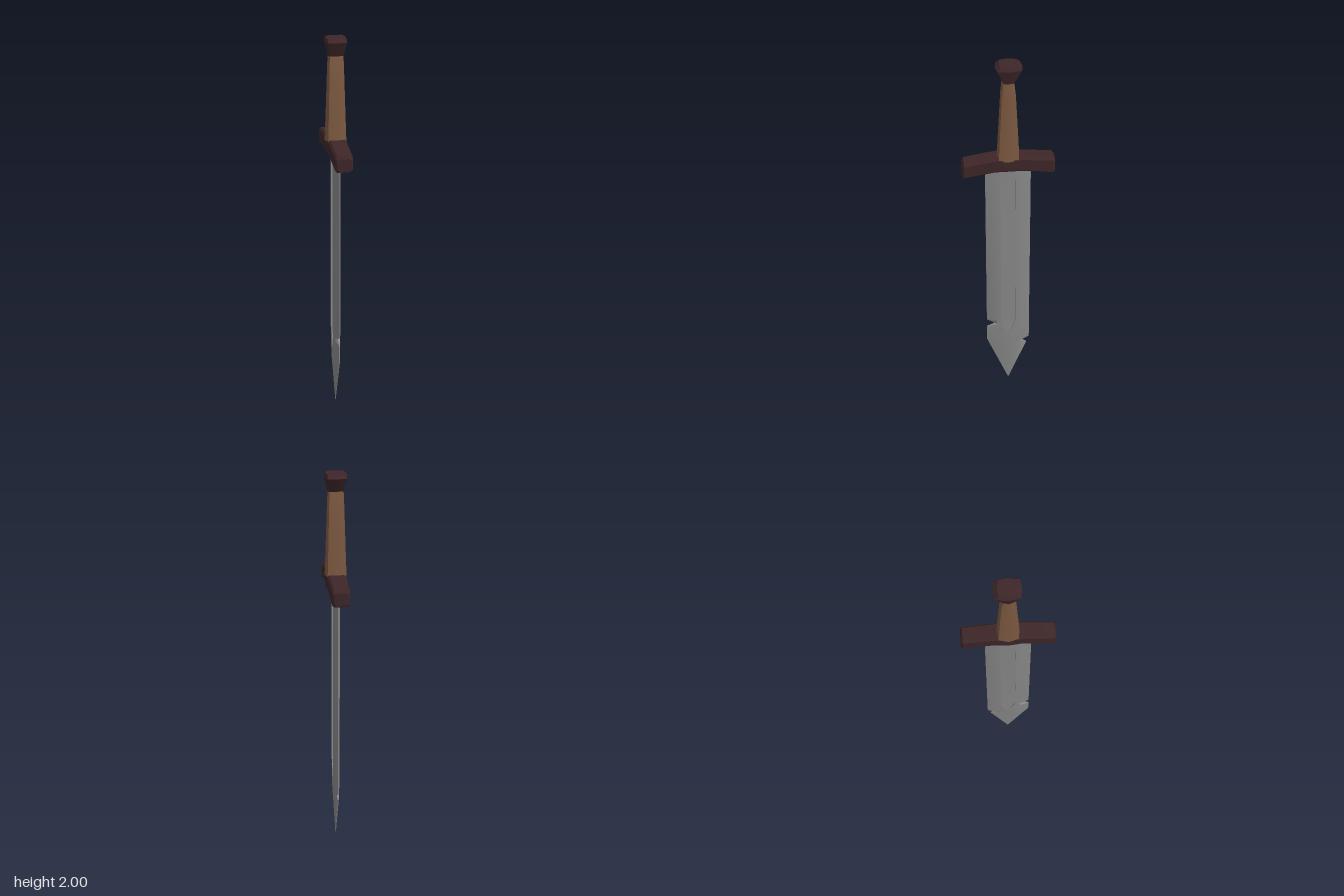
import * as THREE from 'three';
import { toCreasedNormals } from 'three/addons/utils/BufferGeometryUtils.js';

// Skin a list of rings (arrays of Vector3, counter-clockwise about the travel axis) and cap both ends
function loft(rings, crease) {
  const pos = [];
  const tri = (a, b, c) => {
    const n = b.clone().sub(a).cross(c.clone().sub(a));
    if (n.length() > 1e-9) for (const p of [a, b, c]) pos.push(p.x, p.y, p.z);
  };
  const count = rings[0].length;
  for (let s = 0; s < rings.length - 1; s++) {
    for (let i = 0; i < count; i++) {
      const j = (i + 1) % count;
      tri(rings[s][i], rings[s][j], rings[s + 1][j]);
      tri(rings[s][i], rings[s + 1][j], rings[s + 1][i]);
    }
  }
  const cap = (ring, flip) => {
    const mid = new THREE.Vector3();
    ring.forEach((p) => mid.addScaledVector(p, 1 / count));
    ring.forEach((p, i) => {
      const q = ring[(i + 1) % count];
      if (flip) tri(mid, q, p);
      else tri(mid, p, q);
    });
  };
  cap(rings[0], true);
  cap(rings[rings.length - 1], false);
  const geo = new THREE.BufferGeometry();
  geo.setAttribute('position', new THREE.Float32BufferAttribute(pos, 3));
  return toCreasedNormals(geo, crease);
}

// Eight-sided ring in the xz plane, bulging at the middle of each side
const gripRing = ([y, rx, rz, z = 0]) =>
  [[0, 1], [0.83, 0.88], [1, 0], [0.83, -0.88], [0, -1], [-0.83, -0.88], [-1, 0], [-0.83, 0.88]]
    .map(([u, v]) => new THREE.Vector3(u * rx, y, z + v * rz));

// Chamfered rectangle in the xy plane
const guardRing = ([z, y, w, h]) => {
  const c = 0.01;
  return [[w, c - h], [w, h - c], [w - c, h], [c - w, h], [-w, h - c], [-w, c - h], [c - w, -h], [w - c, -h]]
    .map(([x, dy]) => new THREE.Vector3(x, y + dy, z));
};

// Blade section: thin edges, bevel, then a sunken fuller on both faces
const bladeRing = ([y, front, back, t, f, d]) => {
  const bevel = (e) => Math.min(0.07, e * 0.8);
  const edge = Math.min(0.002, t);
  const side = [
    [front, edge], [bevel(front), t * 0.8], [f, t], [f, t - d],
    [-f, t - d], [-f, t], [-bevel(back), t * 0.8], [-back, edge],
  ];
  const near = side.map(([z, x]) => new THREE.Vector3(x, y, z));
  const far = side.map(([z, x]) => new THREE.Vector3(-x, y, z)).reverse();
  return [...near, ...far];
};

export function createModel() {
  const steel = new THREE.MeshStandardMaterial({ color: 0x8a8a8a });
  steel.name = 'steel';
  const darkWood = new THREE.MeshStandardMaterial({ color: 0x3e2628 });
  darkWood.name = 'dark wood';
  const leather = new THREE.MeshStandardMaterial({ color: 0x7d5a41 });
  leather.name = 'leather';

  const model = new THREE.Group();
  model.name = 'sword';
  const add = (name, geo, mat) => {
    const mesh = new THREE.Mesh(geo, mat);
    mesh.name = name;
    model.add(mesh);
  };

  // Blade rows: height, front edge, back edge, half thickness, fuller half width, fuller depth
  add('blade', loft([
    [0, 0.001, 0.004, 0.001, 0, 0],
    [0.25, 0.099, 0.1, 0.012, 0, 0],
    [0.268, 0.106, 0.077, 0.0125, 0, 0],
    [0.29, 0.114, 0.114, 0.013, 0, 0],
    [0.32, 0.114, 0.114, 0.014, 0, 0],
    [0.38, 0.114, 0.114, 0.015, 0.024, 0.005],
    [0.4, 0.07, 0.114, 0.0155, 0.032, 0.006],
    [0.43, 0.114, 0.114, 0.016, 0.038, 0.007],
    [1.35, 0.114, 0.114, 0.016, 0.038, 0.007],
    [1.35, 0.114, 0.114, 0.016, 0.038, 0],
    [1.44, 0.114, 0.114, 0.016, 0.038, 0],
  ].map(bladeRing), 0.45), steel);

  // Curved crossguard: z, centre height, half width, half height
  add('crossguard', loft([
    [-0.23, 1.43, 0.034, 0.034],
    [-0.22, 1.433, 0.044, 0.044],
    [-0.07, 1.452, 0.045, 0.04],
    [0, 1.457, 0.053, 0.04],
    [0.07, 1.452, 0.045, 0.04],
    [0.22, 1.426, 0.044, 0.042],
    [0.23, 1.42, 0.034, 0.034],
  ].map(guardRing), 0.5), darkWood);

  // Tapering grip
  add('grip', loft([
    [1.48, 0.055, 0.056], [1.62, 0.05, 0.049], [1.83, 0.043, 0.038],
    [1.88, 0.041, 0.032], [1.93, 0.038, 0.024],
  ].map(gripRing), 0.6), leather);

  // Flared pommel
  add('pommel', loft([
    [1.912, 0.041, 0.027], [1.985, 0.057, 0.066, -0.003], [2, 0.05, 0.046, -0.003],
  ].map(gripRing), 0.5), darkWood);

  return model;
}
